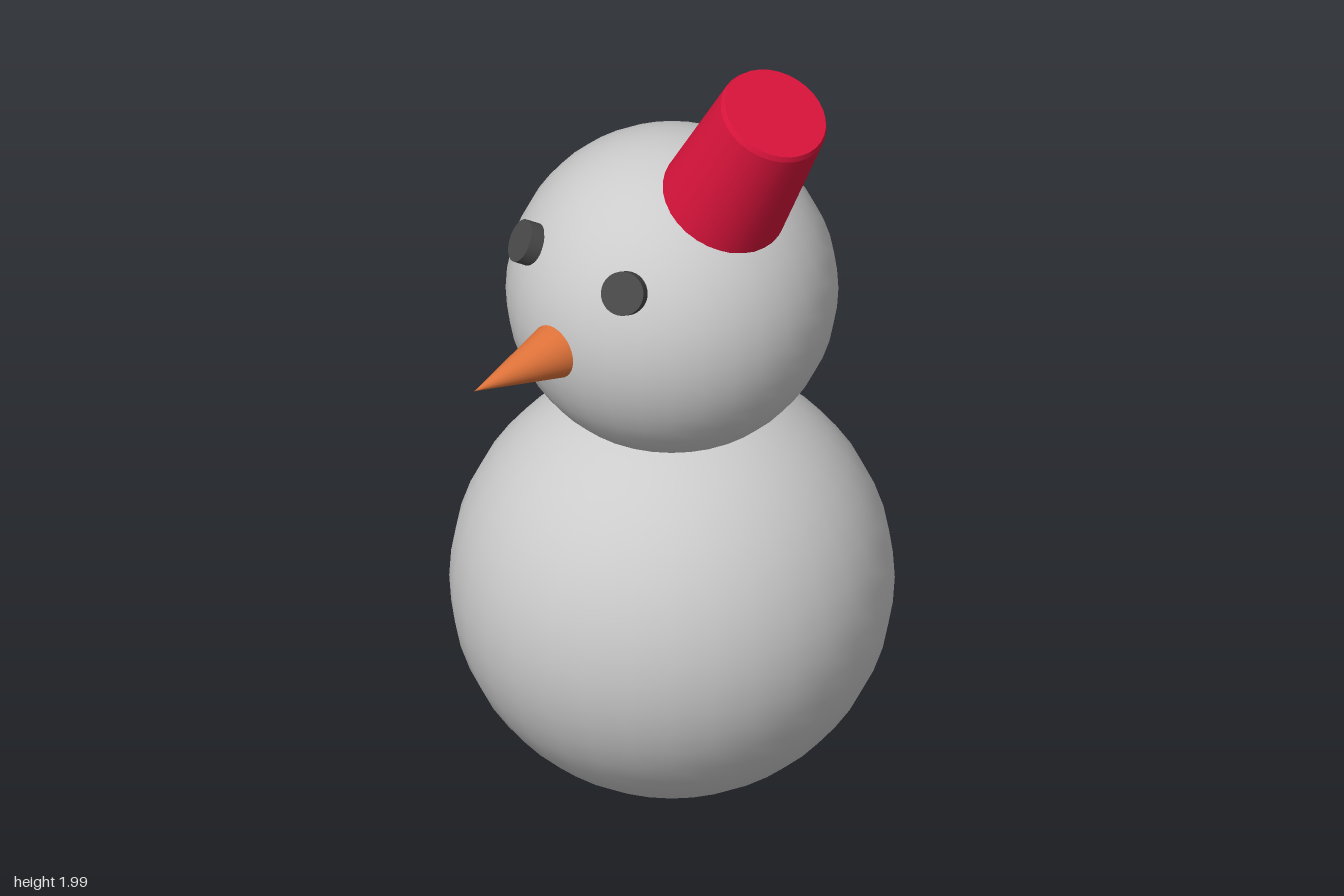
import * as THREE from 'three';

const CENTER_Z = -0.065;
const HEAD = new THREE.Vector3(0, 1.312, CENTER_Z);
const HEAD_R = 0.39;

const mat = (color) => new THREE.MeshStandardMaterial({ color });

function part(name, geometry, material, position) {
  const mesh = new THREE.Mesh(geometry, material);
  mesh.name = name;
  mesh.position.copy(position);
  return mesh;
}

// Turns a part so that its y axis points along dir
function aim(mesh, dir) {
  mesh.quaternion.setFromUnitVectors(new THREE.Vector3(0, 1, 0), dir.clone().normalize());
  return mesh;
}

export function createModel() {
  const group = new THREE.Group();
  group.name = 'snowman';
  const snow = mat(0xcccccc);
  const coal = mat(0x484848);

  // Two stacked snowballs
  group.add(
    part('body', new THREE.SphereGeometry(0.522, 32, 24), snow, new THREE.Vector3(0, 0.525, CENTER_Z)),
    part('head', new THREE.SphereGeometry(HEAD_R, 32, 24), snow, HEAD)
  );

  // Coal eyes, short discs lying against the head
  for (const side of [-1, 1]) {
    const dir = new THREE.Vector3(side * 0.406, 0.46, 0.788).normalize();
    const eye = part(side > 0 ? 'leftEye' : 'rightEye',
      new THREE.CylinderGeometry(0.052, 0.052, 0.045, 32), coal,
      HEAD.clone().addScaledVector(dir, 0.398));
    group.add(aim(eye, dir));
  }

  // Carrot nose
  const nose = part('nose', new THREE.ConeGeometry(0.066, 0.26, 32), mat(0xe0733a),
    new THREE.Vector3(0, 1.3, 0.455));
  group.add(aim(nose, new THREE.Vector3(0, 0, 1)));

  // Tilted bucket hat; repeated points keep the bevelled rim crisp
  const profile = [
    [0, 0.345], [0.154, 0.345], [0.154, 0.345], [0.132, 0.698], [0.132, 0.698],
    [0.126, 0.711], [0.126, 0.711], [0, 0.711]
  ].map(([r, y]) => new THREE.Vector2(r, y));
  const faces = [];
  for (let i = 0; i < profile.length; i += 2) faces.push(profile.slice(i, i + 2));
  const hat = new THREE.Group();
  hat.name = 'hat';
  const red = mat(0xdc143c);
  const names = ['hatBase', 'hatSide', 'hatRim', 'hatTop'];
  faces.forEach((pts, i) =>
    hat.add(part(names[i], new THREE.LatheGeometry(pts, 32), red, new THREE.Vector3())));
  hat.position.copy(HEAD);
  group.add(aim(hat, new THREE.Vector3(0.172, 0.309, 0)));

  return group;
}
